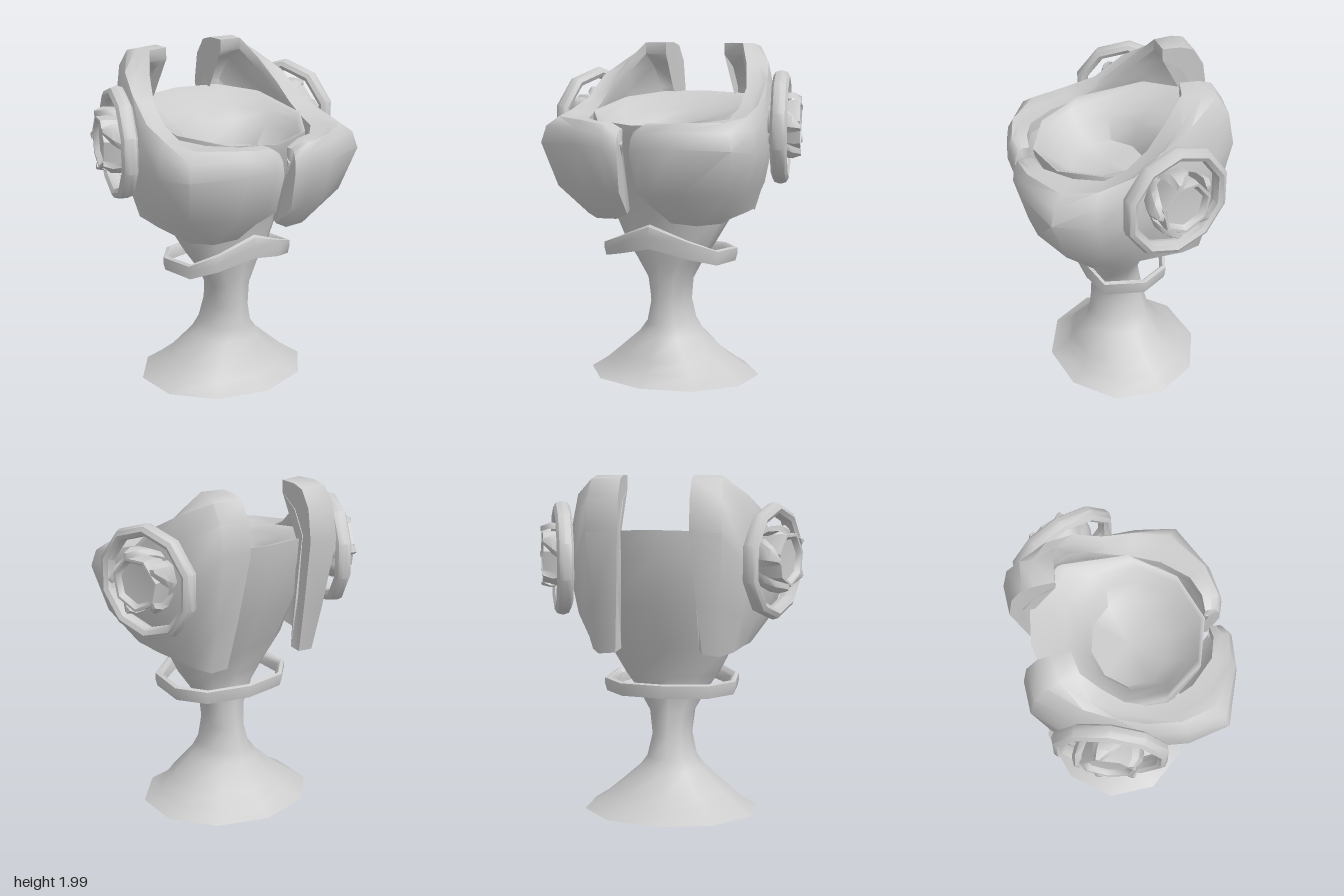
import * as THREE from 'three';
import { toCreasedNormals } from 'three/addons/utils/BufferGeometryUtils.js';

const grey = new THREE.MeshStandardMaterial({ color: 0xcccccc, side: THREE.DoubleSide });

function mesh(name, geometry, crease = 1.1) {
  const m = new THREE.Mesh(toCreasedNormals(geometry, crease), grey);
  m.name = name;
  return m;
}

// Skin a list of equal-length closed sections; cap the chosen ends or join them in a loop.
function loft(sections, { loop = false, capStart = !loop, capEnd = !loop } = {}) {
  const n = sections[0].length, count = sections.length;
  const pts = sections.flat().map(p => new THREE.Vector3(...p));
  const idx = [];
  for (let i = 0; i < (loop ? count : count - 1); i++) {
    for (let j = 0; j < n; j++) {
      const a = i * n + j, b = i * n + (j + 1) % n;
      const c = ((i + 1) % count) * n + j, d = ((i + 1) % count) * n + (j + 1) % n;
      idx.push(a, b, d, a, d, c);
    }
  }
  const cap = (s, end) => {
    const centre = new THREE.Vector3();
    for (let j = 0; j < n; j++) centre.addScaledVector(pts[s * n + j], 1 / n);
    const k = pts.push(centre) - 1;
    for (let j = 0; j < n; j++) {
      const a = s * n + j, b = s * n + (j + 1) % n;
      if (end) idx.push(a, b, k); else idx.push(b, a, k);
    }
  };
  if (capStart) cap(0, false);
  if (capEnd) cap(count - 1, true);
  // Turn the faces outward if the enclosed volume comes out negative
  let volume = 0;
  const cross = new THREE.Vector3();
  for (let i = 0; i < idx.length; i += 3) {
    volume += pts[idx[i]].dot(cross.crossVectors(pts[idx[i + 1]], pts[idx[i + 2]]));
  }
  if (volume < 0) idx.reverse();
  const g = new THREE.BufferGeometry().setFromPoints(pts);
  g.setIndex(idx);
  return g;
}

// Goblet rings from the open foot up and into the bowl:
// half width, front z, back z, front y, back y, fullness of the back
const gobletRings = [
  [0.50, 0.40, -0.52, 0.01, 0.01],
  [0.41, 0.30, -0.43, 0.07, 0.07],
  [0.33, 0.265, -0.355, 0.14, 0.13],
  [0.19, 0.18, -0.25, 0.26, 0.26],
  [0.14, 0.155, -0.22, 0.33, 0.33],
  [0.112, 0.14, -0.185, 0.46, 0.46],
  [0.13, 0.135, -0.16, 0.60, 0.60],
  [0.20, 0.15, -0.155, 0.72, 0.72],
  [0.27, 0.17, -0.18, 0.82, 0.82],
  [0.365, 0.20, -0.27, 1.00, 1.00],
  [0.43, 0.34, -0.40, 1.27, 1.27, 1.1],
  [0.455, 0.455, -0.50, 1.50, 1.56, 1.3],
  [0.45, 0.465, -0.52, 1.55, 1.70, 1.3],
  [0.42, 0.455, -0.45, 1.55, 1.68, 1.3],
  [0.38, 0.44, -0.33, 1.54, 1.60, 1.1],
  [0.32, 0.38, -0.25, 1.49, 1.54],
  [0.25, 0.25, -0.19, 1.39, 1.40],
];

function gobletSection([w, zf, zb, yf, yb, fullness = 1]) {
  const sides = 10, ring = [];
  for (let i = 0; i < sides; i++) {
    const a = (i / sides) * Math.PI * 2;
    let t = (1 - Math.cos(a)) / 2;
    if (t > 0.5) t = 1 - (1 - t) ** fullness;
    ring.push([Math.sin(a) * w / 0.951, yf + (yb - yf) * t, zf + (zb - zf) * t]);
  }
  return ring;
}

// Armour stations from front to back: bottom, widest, top outer, top inner, bulge of the lower part
const armourStations = [
  [[0.12, 1.02, 0.31], [0.04, 1.40, 0.57], [0.05, 1.52, 0.54], [0.05, 1.53, 0.48], 0.8],
  [[0.18, 0.99, 0.33], [0.12, 1.43, 0.60], [0.12, 1.56, 0.57], [0.13, 1.57, 0.48], 0.72],
  [[0.33, 0.98, 0.30], [0.30, 1.44, 0.58], [0.30, 1.58, 0.54], [0.25, 1.57, 0.44], 0.7],
  [[0.44, 0.99, 0.21], [0.61, 1.43, 0.46], [0.53, 1.58, 0.39], [0.38, 1.57, 0.30], 0.65],
  [[0.46, 1.01, 0.10], [0.65, 1.40, 0.22], [0.58, 1.60, 0.19], [0.45, 1.58, 0.14], 0.6],
  [[0.47, 1.02, -0.05], [0.62, 1.40, 0.00], [0.57, 1.66, 0.00], [0.46, 1.64, 0.02], 0.6],
  [[0.45, 1.02, -0.20], [0.58, 1.43, -0.20], [0.55, 1.80, -0.17], [0.45, 1.75, -0.10], 0.6],
  [[0.41, 1.00, -0.33], [0.50, 1.50, -0.41], [0.49, 1.89, -0.33], [0.40, 1.88, -0.21], 0.55],
  [[0.35, 0.99, -0.44], [0.38, 1.69, -0.60], [0.37, 1.98, -0.49], [0.33, 2.00, -0.31], 0.45],
  [[0.25, 1.00, -0.45], [0.20, 1.70, -0.60], [0.20, 1.98, -0.51], [0.20, 2.00, -0.33], 0.45],
];

function armourSection([bottom, wide, top, lip, bulge], side) {
  const mix = (p, q, h, v) => [p[0] + (q[0] - p[0]) * h, p[1] + (q[1] - p[1]) * v, p[2] + (q[2] - p[2]) * h];
  const inset = (p, k, dy) => [Math.max(p[0] * k, Math.min(p[0], 0.2)), p[1] + dy, p[2] * k];
  return [
    bottom, mix(bottom, wide, bulge, 0.41), wide, mix(wide, top, 0.3, 0.65),
    top, mix(top, lip, 0.4, 1), lip, inset(lip, 1.0, -0.07),
    inset(mix(lip, wide, 0.5, 0.35), 0.96, -0.04), inset(wide, 0.87, 0.02), inset(bottom, 0.9, 0.02),
  ].map(([x, y, z]) => [x * side, y, z]);
}

// Loose collar: half of its path, mirrored to a closed loop; it is tallest at the front peak
function collarGeometry() {
  const half = [
    [0, 0.885, 0.255], [0.22, 0.815, 0.20], [0.36, 0.77, 0.12],
    [0.37, 0.76, -0.11], [0.25, 0.755, -0.25], [0, 0.755, -0.30],
  ];
  const path = [...half, ...half.slice(1, -1).reverse().map(([x, y, z]) => [-x, y, z])];
  const profile = [[1.03, -0.04], [1.06, 0], [1.06, 0.035], [1.0, 0.042], [0.94, 0.02], [0.95, -0.035]];
  const section = ([x, y, z]) => profile.map(([k, dy]) => [x * k, y + dy * (1 + (y - 0.755) * 6), z * k]);
  return loft(path.map(section), { loop: true });
}

// Round side fitting: ten-sided ring around a petalled cup, facing local +z
function sideFitting(side) {
  const g = new THREE.Group();
  g.name = side > 0 ? 'leftFitting' : 'rightFitting';
  const ring = mesh('outerRing', new THREE.TorusGeometry(0.298, 0.036, 8, 10).scale(1, 1, 1.35), 0.7);
  ring.rotation.z = Math.PI / 10;
  g.add(ring);

  const rosette = new THREE.Group();
  rosette.name = 'rosette';
  rosette.position.set(0, 0.015, 0);
  const profile = [[0.12, -0.08], [0.15, 0.01], [0.16, 0.08], [0.155, 0.115], [0.14, 0.115], [0.12, 0.085], [0, 0.075]]
    .map(([r, h]) => new THREE.Vector2(r, h));
  rosette.add(mesh('cup', new THREE.LatheGeometry(profile, 7).rotateX(Math.PI / 2), 0.8));
  for (let i = 0; i < 5; i++) {
    const petal = new THREE.Group();
    petal.name = 'petal';
    petal.rotation.z = (i / 5) * Math.PI * 2 + 0.3;
    // Curved blade hugging the cup, swept to one side and ending in a point
    const sections = [[0.15, 0.08, -0.07, 0], [0.185, 0.08, 0.01, 0.01], [0.19, 0.055, 0.07, 0.03], [0.17, 0.015, 0.12, 0.055]]
      .map(([r, w, z, s]) => [[r - 0.03, s - w, z], [r, s - w * 0.6, z], [r, s + w * 0.6, z], [r - 0.03, s + w, z]]);
    petal.add(mesh('petalBlade', loft(sections), 0.8));
    rosette.add(petal);
  }
  g.add(rosette);
  g.position.set(side * 0.62, 1.515, -0.22);
  g.rotation.y = Math.atan2(side * 0.62, -0.22);
  return g;
}

export function createModel() {
  const model = new THREE.Group();
  model.name = 'armouredGoblet';
  model.add(mesh('goblet', loft(gobletRings.map(gobletSection), { capStart: false })));
  model.add(mesh('collar', collarGeometry()));
  for (const side of [1, -1]) {
    const name = side > 0 ? 'leftArmour' : 'rightArmour';
    model.add(mesh(name, loft(armourStations.map(s => armourSection(s, side)))));
    model.add(sideFitting(side));
  }
  return model;
}
